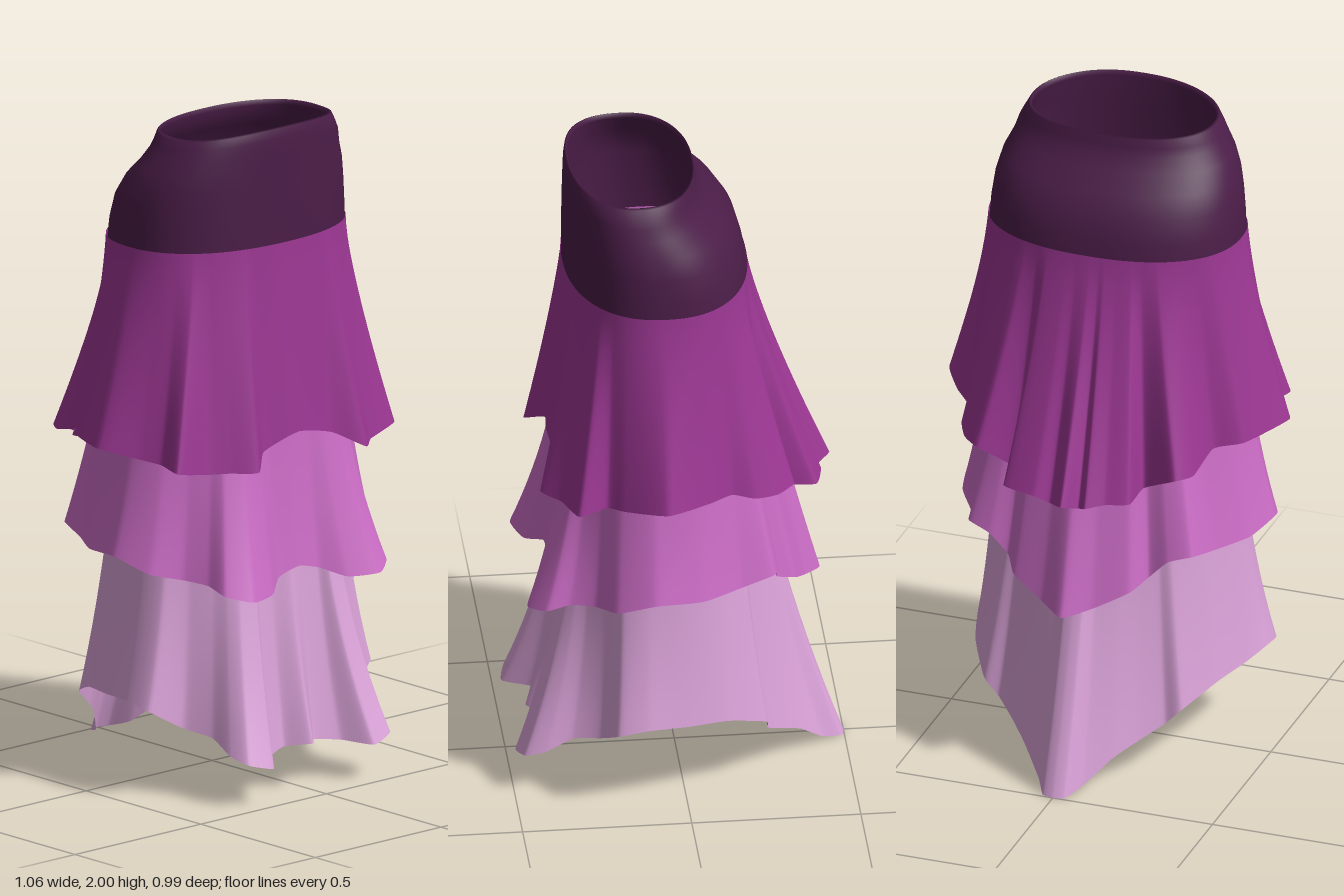
import * as THREE from 'three';

const material = (name, color) => {
  const m = new THREE.MeshStandardMaterial({ color, side: THREE.DoubleSide });
  m.name = name;
  return m;
};

// Closed rings of points, joined into one smooth surface.
function loft(name, rows, mat) {
  const n = rows[0].length, pos = [], index = [];
  rows.forEach((row) => row.forEach((p) => pos.push(p.x, p.y, p.z)));
  for (let r = 0; r < rows.length - 1; r++) {
    for (let i = 0; i < n; i++) {
      const a = r * n + i, b = r * n + (i + 1) % n;
      index.push(a, a + n, b, b, a + n, b + n);
    }
  }
  const geo = new THREE.BufferGeometry();
  geo.setAttribute('position', new THREE.Float32BufferAttribute(pos, 3));
  geo.setIndex(index);
  geo.computeVertexNormals();
  const mesh = new THREE.Mesh(geo, mat);
  mesh.name = name;
  return mesh;
}

// Rounded oval around the body; angle 0 faces the front, growing towards +x.
function oval(angle, y, halfX, zFront, zBack) {
  const soft = (v) => Math.sign(v) * Math.pow(Math.abs(v), 0.88);
  const mid = (zFront + zBack) / 2, halfZ = (zFront - zBack) / 2;
  return new THREE.Vector3(soft(Math.sin(angle)) * halfX, y, mid + soft(Math.cos(angle)) * halfZ);
}

// Waistband: lining up to the rim, then the outer wall back down.
function waistband(mat) {
  const levels = [
    // y, half width, front z, back z
    [1.6, 0.365, 0.318, -0.19], [1.8, 0.352, 0.316, -0.15], [1.9, 0.31, 0.314, -0.065],
    [1.96, 0.277, 0.313, -0.048], [1.976, 0.28, 0.316, -0.05], [1.972, 0.288, 0.322, -0.054],
    [1.945, 0.303, 0.325, -0.058], [1.92, 0.316, 0.326, -0.066], [1.88, 0.335, 0.327, -0.09],
    [1.83, 0.358, 0.328, -0.14], [1.77, 0.372, 0.329, -0.18], [1.7, 0.38, 0.33, -0.2],
    [1.635, 0.384, 0.33, -0.208],
  ];
  const rows = levels.map(([y, hx, zf, zb]) => Array.from({ length: 96 }, (_, i) => {
    const a = (i / 96) * Math.PI * 2;
    const lift = y > 1.9 ? 0.024 * Math.max(0, Math.cos(a)) ** 2 : 0;
    const p = oval(a, y + lift, hx, zf, zb);
    p.x += y > 1.9 ? 0.007 : 0;
    return p;
  }));
  return loft('waistband', rows, mat);
}

// Right half of a hem, mirrored from a left half and ordered from back to front.
const mirrored = (half) => half.slice(1, -1).reverse().map(([x, y, z]) => [-x, y, z]);

// Ruffle tier: hangs from the waist oval and flares into a wavy hem.
function tier(name, hemPoints, { top, scale, flareFront, flareBack }, mat) {
  const points = hemPoints.map((p) => new THREE.Vector3(...p));
  const curve = new THREE.CatmullRomCurve3(points, true, 'catmullrom', 0.28);
  const n = points.length * 8, steps = 20;
  const columns = Array.from({ length: n }, (_, i) => {
    const hem = curve.getPoint(i / n);
    const a = Math.atan2(hem.x / 0.385, (hem.z - 0.06) / 0.27);
    const start = oval(a, top, 0.385 * scale, 0.06 + 0.27 * scale, 0.06 - 0.27 * scale);
    const back = Math.max(0, -Math.cos(a)) ** 2;
    return { hem, start, power: THREE.MathUtils.lerp(flareFront, flareBack, back) };
  });
  const rows = Array.from({ length: steps + 1 }, (_, r) => columns.map(({ hem, start, power }) => {
    const t = r / steps, f = Math.pow(t, power);
    return new THREE.Vector3(
      THREE.MathUtils.lerp(start.x, hem.x, f),
      THREE.MathUtils.lerp(start.y, hem.y, t),
      THREE.MathUtils.lerp(start.z, hem.z, f));
  }));
  return loft(name, rows, mat);
}

// Upper hem, all the way round: left side front to back, then right side back to front.
const upperHem = [
  [0, 1.08, 0.38], [0.14, 1.05, 0.37], [0.23, 1.0, 0.42], [0.3, 1.0, 0.365], [0.43, 1.02, 0.325],
  [0.405, 1.03, 0.24], [0.45, 1.04, 0.19], [0.53, 1.065, 0.07], [0.46, 1.06, -0.06],
  [0.4, 1.05, -0.13], [0.395, 1.03, -0.2], [0.36, 1.02, -0.27], [0.3, 1.02, -0.325],
  [0.2, 0.96, -0.295], [0.19, 0.95, -0.4], [0.09, 0.945, -0.425], [0.04, 0.925, -0.415],
  [-0.01, 0.94, -0.46], [-0.05, 0.925, -0.42], [-0.08, 0.94, -0.445], [-0.13, 0.945, -0.41],
  [-0.2, 0.95, -0.39], [-0.21, 0.96, -0.295], [-0.32, 1.02, -0.335], [-0.36, 1.02, -0.28],
  [-0.375, 1.05, -0.15], [-0.455, 1.06, -0.1], [-0.53, 1.065, 0.08], [-0.46, 1.04, 0.19],
  [-0.43, 1.03, 0.25], [-0.44, 1.02, 0.335], [-0.33, 1.0, 0.34], [-0.27, 1.0, 0.375],
  [-0.2, 1.0, 0.425], [-0.13, 1.04, 0.37],
];
// Half hems from front centre round the left side to back centre.
const middleHem = [
  [0, 0.67, 0.38], [0.08, 0.65, 0.38], [0.15, 0.62, 0.43], [0.25, 0.62, 0.46], [0.32, 0.64, 0.41],
  [0.325, 0.66, 0.34], [0.36, 0.67, 0.27], [0.44, 0.69, 0.21], [0.48, 0.73, 0.1],
  [0.45, 0.72, -0.04], [0.38, 0.72, -0.16], [0.35, 0.74, -0.26], [0.28, 0.72, -0.28],
  [0.22, 0.66, -0.28], [0.18, 0.63, -0.34], [0.08, 0.58, -0.38], [0, 0.56, -0.43],
];
const lowerHem = [
  [0, 0.14, 0.44], [0.06, 0.13, 0.38], [0.14, 0.12, 0.41], [0.2, 0.11, 0.49], [0.28, 0.13, 0.47],
  [0.3, 0.15, 0.41], [0.3, 0.19, 0.33], [0.34, 0.21, 0.25], [0.44, 0.27, 0.21],
  [0.45, 0.29, 0.12], [0.42, 0.28, 0], [0.38, 0.27, -0.12], [0.31, 0.22, -0.24],
  [0.26, 0.17, -0.25], [0.2, 0.13, -0.3], [0.14, 0.09, -0.36], [0.07, 0.02, -0.43],
  [0.035, 0, -0.49], [0, 0, -0.5],
];

export function createModel() {
  const skirt = new THREE.Group();
  skirt.name = 'tieredSkirt';
  skirt.add(
    waistband(material('dark plum', 0x4b1d48)),
    tier('upperTier', upperHem,
      { top: 1.65, scale: 1.006, flareFront: 1.25, flareBack: 1.25 },
      material('deep magenta', 0x9c3793)),
    tier('middleTier', [...middleHem, ...mirrored(middleHem)],
      { top: 1.6, scale: 0.96, flareFront: 2.25, flareBack: 1.25 },
      material('orchid', 0xcc6dc6)),
    tier('lowerTier', [...lowerHem, ...mirrored(lowerHem)],
      { top: 1.6, scale: 0.91, flareFront: 2.9, flareBack: 1.85 },
      material('pale lilac', 0xdba3d9)),
  );
  return skirt;
}
